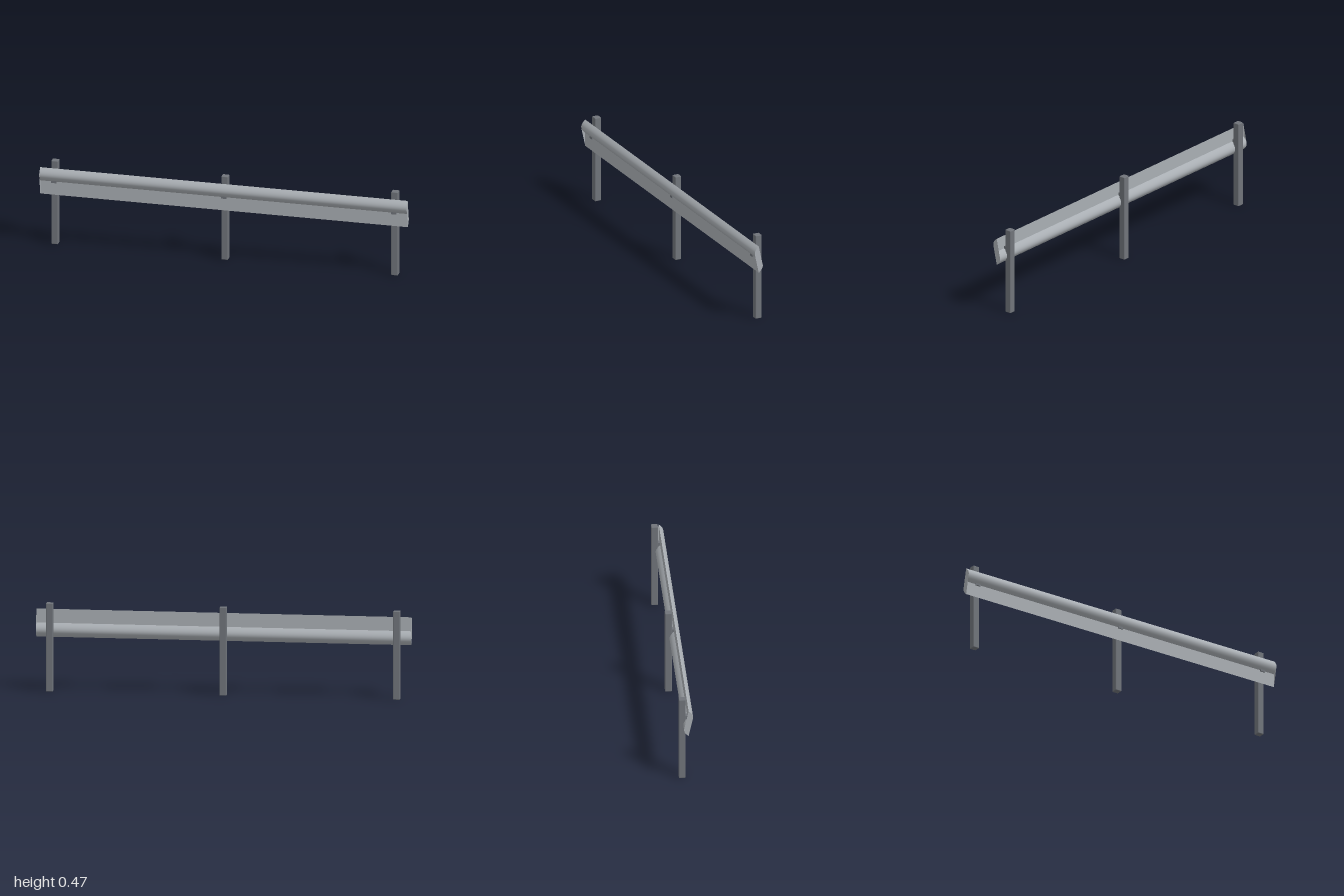
import * as THREE from 'three';
import { RoundedBoxGeometry } from 'three/addons/geometries/RoundedBoxGeometry.js';

const railSteel = new THREE.MeshStandardMaterial({ color: 0xa9aeb3, side: THREE.DoubleSide });
railSteel.name = 'railSteel';
const postSteel = new THREE.MeshStandardMaterial({ color: 0x70747a });
postSteel.name = 'postSteel';

const HALF = 1; // half the rail length

// Sheet running along x, following a profile of (z, y) points
function ribbon(points) {
  const pos = [], idx = [];
  points.forEach((p, i) => {
    pos.push(-HALF, p.y, p.x, HALF, p.y, p.x);
    if (i > 0) {
      const a = 2 * i - 2;
      idx.push(a, a + 2, a + 1, a + 1, a + 2, a + 3);
    }
  });
  const g = new THREE.BufferGeometry();
  g.setAttribute('position', new THREE.Float32BufferAttribute(pos, 3));
  g.setIndex(idx);
  g.computeVertexNormals();
  return g;
}

export function createModel() {
  const group = new THREE.Group();
  const add = (name, geometry, material, x = 0, y = 0, z = 0) => {
    const mesh = new THREE.Mesh(geometry, material);
    mesh.name = name;
    mesh.position.set(x, y, z);
    group.add(mesh);
    return mesh;
  };

  // Rail profile: a forward bulge above, a backward bulge below, joined by a flat web
  const top = new THREE.Vector2(0.012, 0.437);
  const mid = new THREE.Vector2(0.012, 0.362);
  const bottom = new THREE.Vector2(0.012, 0.287);
  const upper = new THREE.QuadraticBezierCurve(top, new THREE.Vector2(0.06, 0.4), mid).getPoints(20);
  const lower = upper.map((p) => new THREE.Vector2(2 * mid.x - p.x, 2 * mid.y - p.y));
  // reversed so that the outside faces forward on both bulges
  add('railUpperBulge', ribbon([...upper].reverse()), railSteel);
  add('railLowerBulge', ribbon([...lower].reverse()), railSteel);
  add('railWeb', ribbon([bottom, top]), railSteel);

  // End plates spanning both bulges
  const outline = new THREE.Shape([...upper.slice(0, 13), ...lower.slice(0, 13)]);
  for (const side of [-1, 1]) {
    const plate = new THREE.ShapeGeometry(outline);
    plate.rotateY(-Math.PI / 2);
    add('railEnd', plate, railSteel, side * HALF);
  }

  // Posts with small mounting blocks behind the rail
  for (const x of [-0.925, 0, 0.925]) {
    add('post', new RoundedBoxGeometry(0.037, 0.475, 0.036, 2, 0.004), postSteel, x, 0.2375, -0.017);
    add('mountingBlock', new THREE.BoxGeometry(0.028, 0.02, 0.02), postSteel, x, 0.365, 0.008);
  }
  return group;
}
